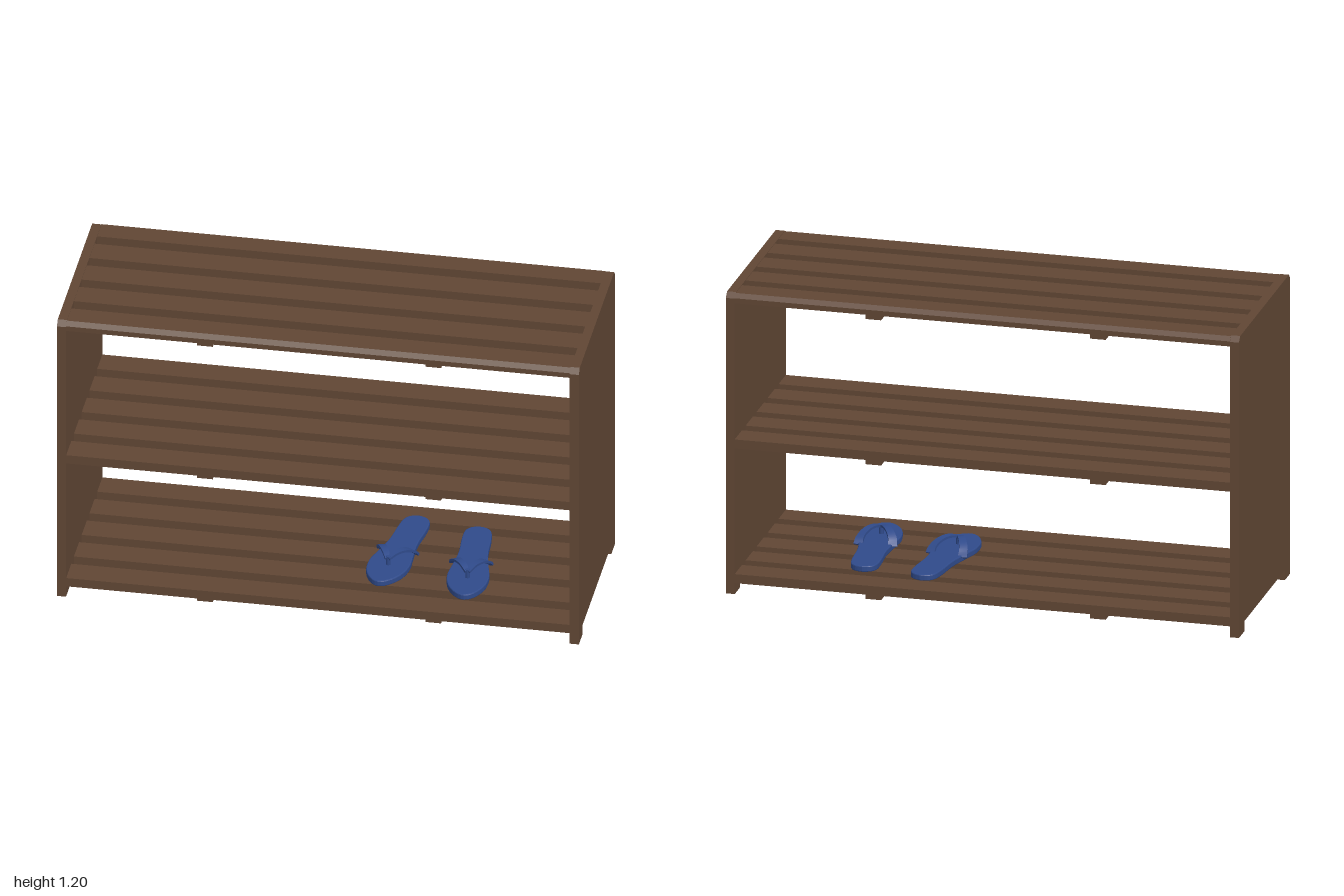
import * as THREE from 'three';

const wood = new THREE.MeshStandardMaterial({ color: 0x604634 });
wood.name = 'brown wood';
const rubber = new THREE.MeshStandardMaterial({ color: 0x2f4a8a });
rubber.name = 'blue rubber';

function add(parent, name, geometry, material, x = 0, y = 0, z = 0) {
  const mesh = new THREE.Mesh(geometry, material);
  mesh.name = name;
  mesh.position.set(x, y, z);
  parent.add(mesh);
  return mesh;
}

// Extrudes a (z, y) outline along x, centred on x = 0
function extrudeAlongX(points, width) {
  const shape = new THREE.Shape(points.map(([z, y]) => new THREE.Vector2(-z, y)));
  const geometry = new THREE.ExtrudeGeometry(shape, { depth: width, bevelEnabled: false });
  geometry.translate(0, 0, -width / 2);
  return geometry.rotateY(Math.PI / 2);
}

// Side board with clipped top corners and two feet
function sidePanel() {
  return extrudeAlongX([
    [-0.38, 0], [-0.3, 0], [-0.3, 0.04], [0.3, 0.04], [0.3, 0], [0.38, 0],
    [0.38, 1.18], [0.36, 1.2], [-0.36, 1.2], [-0.38, 1.18],
  ], 0.035);
}

// Row of five slats with two braces beneath
function shelf(name, top, clipped) {
  const group = new THREE.Group();
  group.name = name;
  const thick = 0.036, half = 0.054;
  for (let i = -2; i <= 2; i++) {
    const z = i * 0.1625 - 0.002;
    const cut = 0.016;
    const front = clipped && i === 2 ? cut : 0;
    const back = clipped && i === -2 ? cut : 0;
    const outline = [[-half, -thick], [half, -thick], [half, -front]];
    if (front) outline.push([half - cut, 0]);
    if (back) outline.push([-half + cut, 0]);
    outline.push([-half, -back]);
    add(group, 'slat', extrudeAlongX(outline, 1.93), wood, 0, top, z);
  }
  for (const x of [-0.44, 0.435]) {
    add(group, 'brace', new THREE.BoxGeometry(0.06, 0.032, 0.68), wood, x, top - thick - 0.016, 0);
  }
  return group;
}

// Flat band swept along a curve by bending a long box
function band(curve, width, thick) {
  const geometry = new THREE.BoxGeometry(width, thick, 1, 1, 1, 16);
  const pos = geometry.attributes.position;
  const up = new THREE.Vector3(0, 1, 0);
  for (let i = 0; i < pos.count; i++) {
    const t = pos.getZ(i) + 0.5;
    const along = curve.getTangent(t);
    const across = new THREE.Vector3().crossVectors(up, along).normalize();
    const normal = new THREE.Vector3().crossVectors(along, across);
    const p = curve.getPoint(t)
      .addScaledVector(across, pos.getX(i) * (0.6 + 0.4 * t))
      .addScaledVector(normal, pos.getY(i));
    pos.setXYZ(i, p.x, p.y, p.z);
  }
  geometry.computeVertexNormals();
  return geometry;
}

// Thong sandal with its toe towards +z, standing on y = 0
function sandal(name) {
  const group = new THREE.Group();
  group.name = name;
  const halfOutline = [
    [0.03, -0.247], [0.05, -0.22], [0.056, -0.16], [0.056, -0.06],
    [0.07, 0.04], [0.08, 0.11], [0.07, 0.18], [0.038, 0.235],
  ];
  const right = halfOutline.map(([x, z]) => new THREE.Vector2(x, z));
  const left = halfOutline.map(([x, z]) => new THREE.Vector2(-x, z)).reverse();
  const outline = new THREE.SplineCurve([
    new THREE.Vector2(0, -0.256), ...right, new THREE.Vector2(0, 0.256), ...left, new THREE.Vector2(0, -0.256),
  ]).getPoints(56).slice(0, -1);
  const sole = new THREE.ExtrudeGeometry(new THREE.Shape(outline), {
    depth: 0.016, bevelThickness: 0.004, bevelSize: 0.004, bevelOffset: -0.004, bevelSegments: 2,
  });
  sole.rotateX(Math.PI / 2);
  add(group, 'sole', sole, rubber, 0, 0.02, 0);

  // Toe post and the two arched straps
  add(group, 'toePost', new THREE.CylinderGeometry(0.009, 0.009, 0.038, 12), rubber, 0, 0.041, 0.125);
  for (const side of [-1, 1]) {
    const path = new THREE.CatmullRomCurve3([
      [0, 0.052, 0.13], [0.022, 0.063, 0.095], [0.045, 0.058, 0.058], [0.062, 0.038, 0.025], [0.066, 0.016, 0.005],
    ].map(([x, y, z]) => new THREE.Vector3(side * x, y, z)));
    add(group, 'strap', band(path, 0.036, 0.009), rubber);
  }
  return group;
}

export function createModel() {
  const model = new THREE.Group();
  model.name = 'shoeRack';

  add(model, 'rightSidePanel', sidePanel(), wood, -0.9825, 0, 0);
  add(model, 'leftSidePanel', sidePanel(), wood, 0.9825, 0, 0);

  model.add(shelf('bottomShelf', 0.08, false));
  model.add(shelf('middleShelf', 0.618, false));
  model.add(shelf('topShelf', 1.198, true));

  const sandals = [
    ['rightSandal', 0.236, -0.025, -0.14],
    ['leftSandal', 0.522, 0.015, 0.065],
  ];
  for (const [name, x, z, turn] of sandals) {
    const pair = sandal(name);
    pair.position.set(x, 0.081, z);
    pair.rotation.y = turn;
    model.add(pair);
  }
  return model;
}
